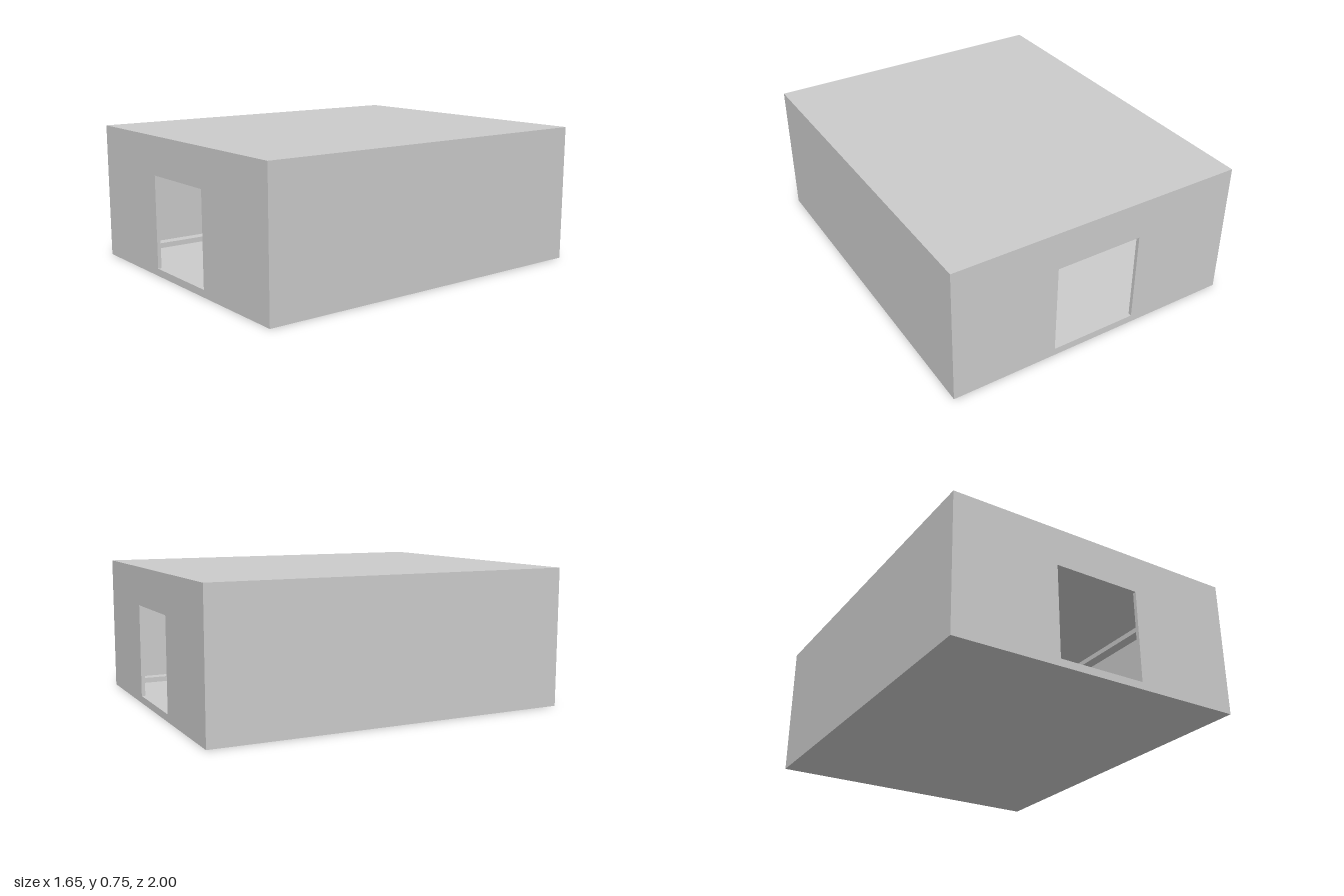
import * as THREE from 'three';

const W = 1.65, H = 0.755, D = 2;      // outer size
const T = 0.02, SLAB = 0.01;           // wall and slab thickness
const BEAM_W = 0.085, BEAM_H = 0.04;   // edge beams inside the shell

export function createModel() {
  const model = new THREE.Group();
  const material = new THREE.MeshStandardMaterial({ color: 0xcccccc, flatShading: true });

  const add = (name, geometry, x, y, z) => {
    const mesh = new THREE.Mesh(geometry, material);
    mesh.name = name;
    mesh.position.set(x, y, z);
    model.add(mesh);
  };
  const box = (name, w, h, d, x, y, z) => add(name, new THREE.BoxGeometry(w, h, d), x, y, z);

  // Floor and roof slabs, each with a pair of beams along the sides and the ends
  for (const [level, y, beamY] of [
    ['floor', SLAB / 2, BEAM_H / 2],
    ['roof', H - SLAB / 2, H - BEAM_H / 2],
  ]) {
    box(level + 'Slab', W, SLAB, D, 0, y, 0);
    for (const s of [-1, 1]) {
      box(level + 'SideBeam', BEAM_W, BEAM_H, D, s * (W - BEAM_W) / 2, beamY, 0);
      box(level + 'EndBeam', W - 2 * BEAM_W, BEAM_H, BEAM_W, 0, beamY, s * (D - BEAM_W) / 2);
    }
  }

  // Solid side walls
  for (const s of [-1, 1]) {
    box(s > 0 ? 'leftWall' : 'rightWall', T, H, D, s * (W - T) / 2, H / 2, 0);
  }

  // End walls with a doorway through each
  const wall = new THREE.Shape([
    new THREE.Vector2(-W / 2, 0), new THREE.Vector2(W / 2, 0),
    new THREE.Vector2(W / 2, H), new THREE.Vector2(-W / 2, H),
  ]);
  wall.holes.push(new THREE.Path([
    new THREE.Vector2(-0.243, BEAM_H), new THREE.Vector2(-0.243, 0.545),
    new THREE.Vector2(0.243, 0.545), new THREE.Vector2(0.243, BEAM_H),
  ]));
  const endWall = new THREE.ExtrudeGeometry(wall, { depth: T, bevelEnabled: false });
  add('frontWall', endWall, 0, 0, D / 2 - T);
  add('backWall', endWall, 0, 0, -D / 2);

  return model;
}
